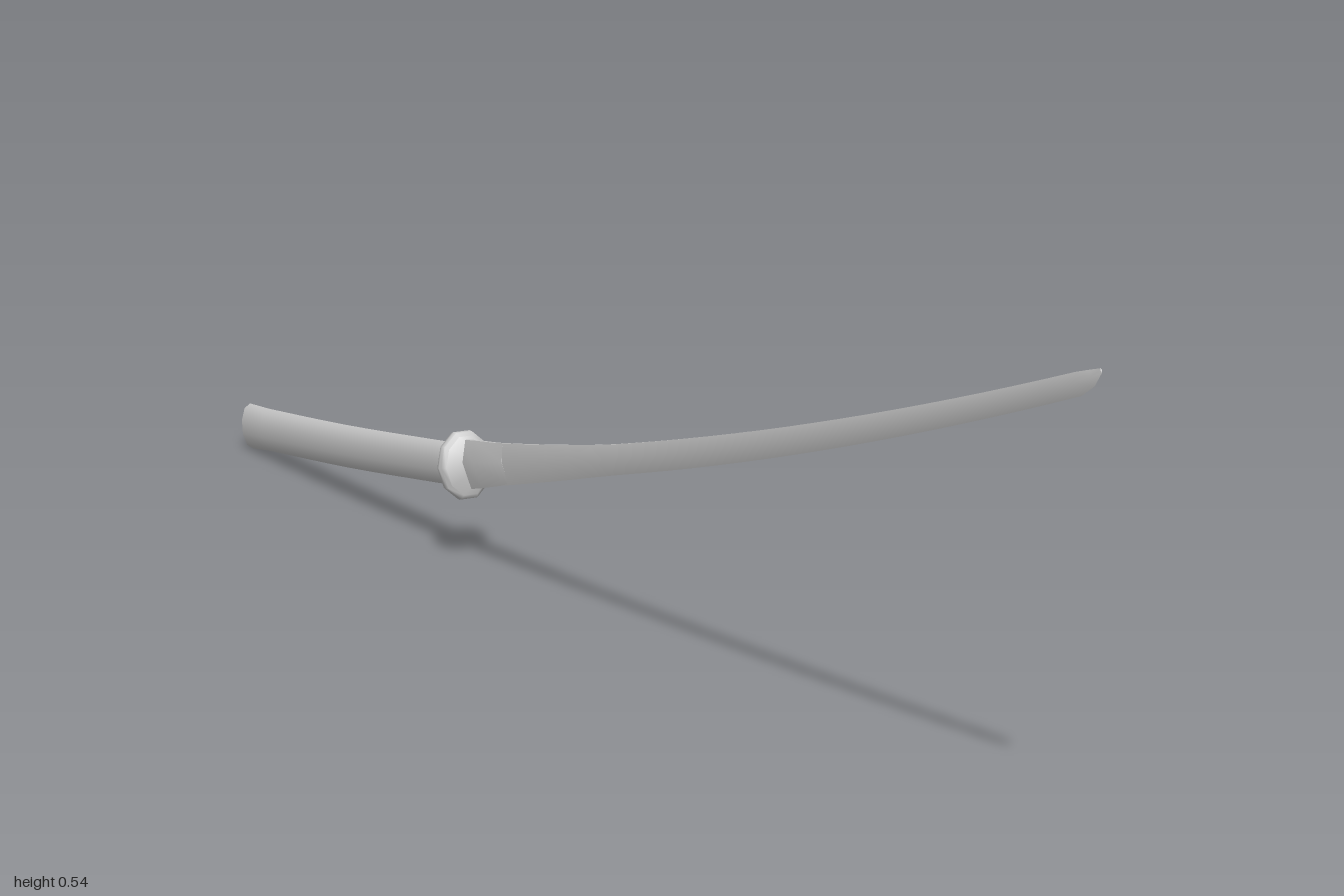
import * as THREE from 'three';
import { toCreasedNormals } from 'three/addons/utils/BufferGeometryUtils.js';

const material = new THREE.MeshStandardMaterial({ color: 0xcccccc });

// Oval cross-section with n corners, counter-clockwise
const oval = (n, start = 0) => Array.from({ length: n }, (_, i) => {
  const a = start + (i / n) * Math.PI * 2;
  return [Math.cos(a), Math.sin(a)];
});

// Lofts a section along stations [x, y, z, halfWidth, halfHeight], ordered by rising z;
// each ring stands square to the path
function loft(name, section, stations, crease) {
  const n = section.length, last = stations.length - 1;
  const pos = [], index = [];
  stations.forEach(([x, y, z, hw, hh], i) => {
    const a = stations[Math.max(i - 1, 0)], b = stations[Math.min(i + 1, last)];
    const tilt = Math.atan2(b[1] - a[1], b[2] - a[2]);
    for (const [u, v] of section) {
      pos.push(x + u * hw, y + v * hh * Math.cos(tilt), z - v * hh * Math.sin(tilt));
    }
  });
  for (let i = 0; i < last; i++) {
    for (let j = 0; j < n; j++) {
      const k = (j + 1) % n, a = i * n + j, b = i * n + k;
      index.push(a, b, b + n, a, b + n, a + n);
    }
  }
  // End caps
  for (let j = 1; j < n - 1; j++) {
    index.push(0, j + 1, j, last * n, last * n + j, last * n + j + 1);
  }
  const geometry = new THREE.BufferGeometry();
  geometry.setAttribute('position', new THREE.Float32BufferAttribute(pos, 3));
  geometry.setIndex(index);
  const mesh = new THREE.Mesh(toCreasedNormals(geometry, crease), material);
  mesh.name = name;
  return mesh;
}

// Linear lookup in a list of [z, value]
function lerpTable(table, z) {
  let i = 0;
  while (i < table.length - 2 && z > table[i + 1][0]) i++;
  const [z0, v0] = table[i], [z1, v1] = table[i + 1];
  return v0 + (v1 - v0) * (z - z0) / (z1 - z0);
}

// Centre line and depth of the blade
const bladeX = z => 0.022 * (z + 0.36);
const bladeY = z => 0.215 + 0.263 * z + 0.052 * z * z;
const bladeDepth = [[-0.36, 0.03], [-0.2, 0.0245], [0, 0.0185], [0.5, 0.0155], [0.96, 0.0125]];
const bladeSection = [[1, 0.1], [0.3, 1], [-0.3, 1], [-1, 0.1], [0, -1]];

export function createModel() {
  const group = new THREE.Group();
  group.name = 'sword';

  // Curved blade, sharp below, rising to a point on the upper edge
  const blade = [];
  for (let i = 0; i <= 24; i++) {
    const z = -0.36 + (1.32 * i) / 24;
    blade.push([bladeX(z), bladeY(z), z, 0.0055 - 0.0015 * i / 24, lerpTable(bladeDepth, z)]);
  }
  blade.push([0.0295, 0.526, 0.982, 0.003, 0.009]);
  blade.push([0.03, 0.537, 0.997, 0.001, 0.0025]);
  group.add(loft('blade', bladeSection, blade, 0.7));

  // Collar tapering from the guard into the blade
  const collar = [[-0.36, 0.0095, 1.06], [-0.32, 0.009, 1.05], [-0.25, 0.0056, 0.98]].map(
    ([z, hw, s]) => [bladeX(z), bladeY(z), z, hw, lerpTable(bladeDepth, z) * s]);
  group.add(loft('bladeCollar', bladeSection, collar, 0.7));

  // Guard: ten-sided oval plate with a rounded rim
  const guard = [[-0.011, 0.86], [-0.006, 0.98], [0, 1], [0.006, 0.98], [0.011, 0.86]].map(
    ([s, k]) => [-0.001, 0.127 + s * 0.17, -0.357 + s * 0.985, 0.036 * k, 0.045 * k]);
  group.add(loft('guard', oval(10), guard, 1.0));

  // Handle: slightly bowed oval grip, widening to the end
  const path = new THREE.CatmullRomCurve3([
    new THREE.Vector3(-0.0085, 0.034, -0.9955),
    new THREE.Vector3(-0.006, 0.075, -0.69),
    new THREE.Vector3(-0.001, 0.126, -0.357),
  ]);
  const handle = [];
  for (let i = 0; i <= 10; i++) {
    const p = path.getPoint(i / 10);
    const flare = i === 0 ? 1.06 : 1;
    handle.push([p.x, p.y, p.z, (0.0135 - 0.002 * i / 10) * flare, (0.0295 - 0.002 * i / 10) * flare]);
  }
  group.add(loft('handle', oval(10, Math.PI / 10), handle, 1.0));

  return group;
}
